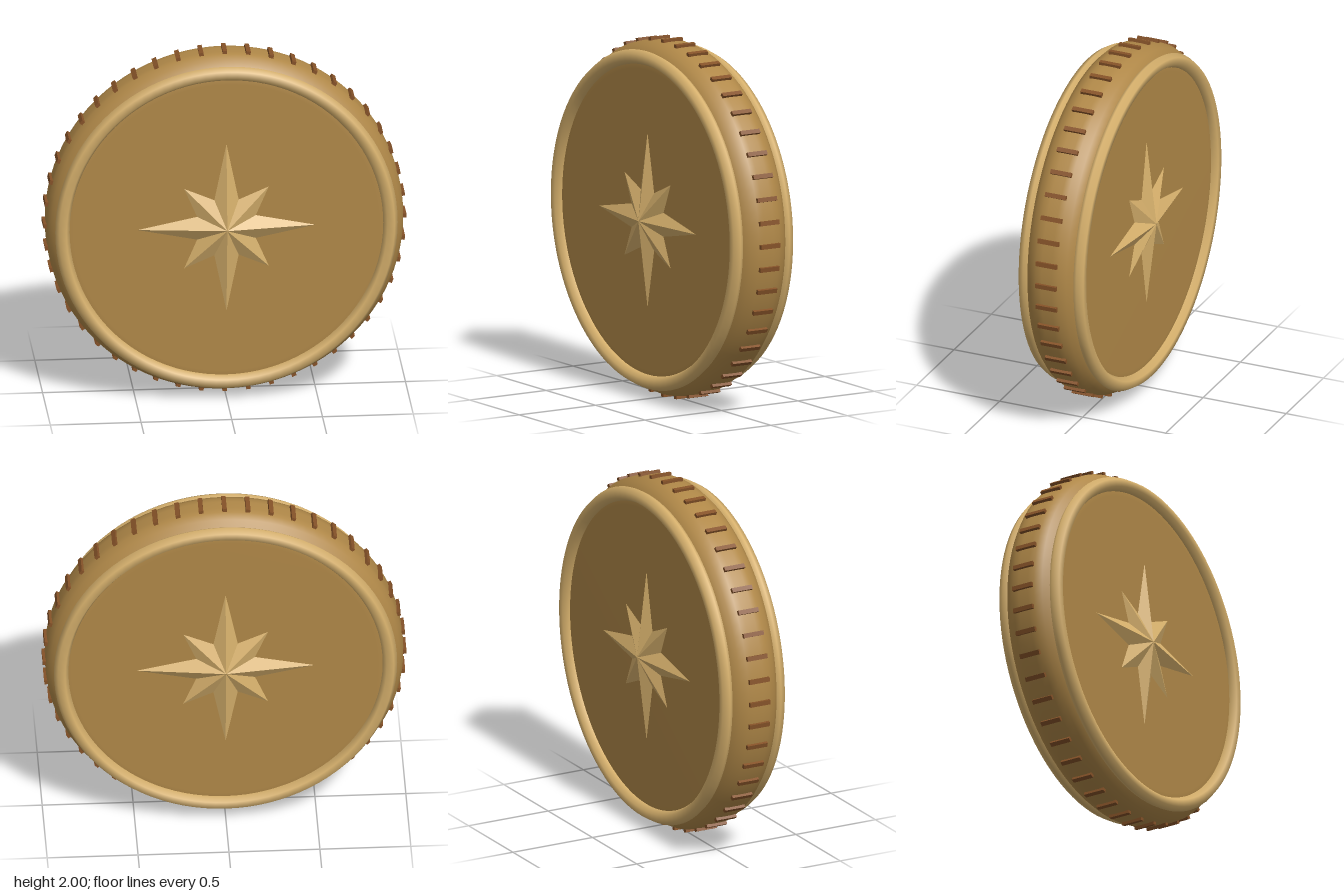
import * as THREE from 'three';

const paint = (name, color) => {
  const m = new THREE.MeshStandardMaterial({ color });
  m.name = name;
  return m;
};

// Faceted eight-pointed star: raised centre, outline on z = 0
function starGeometry(longR, shortR, valleyR, height) {
  const at = (k) => {
    const r = k % 2 ? valleyR : k % 4 ? shortR : longR;
    const a = (k * Math.PI) / 8;
    return [r * Math.cos(a), r * Math.sin(a), 0];
  };
  const pos = [];
  for (let k = 0; k < 16; k++) pos.push(0, 0, height, ...at(k), ...at(k + 1));
  const g = new THREE.BufferGeometry();
  g.setAttribute('position', new THREE.Float32BufferAttribute(pos, 3));
  g.computeVertexNormals();
  return g;
}

export function createModel() {
  const bronze = paint('bronze', 0xb08848);
  const gold = paint('pale gold', 0xd6b06c);
  const brown = paint('dark brown', 0x855228);

  const model = new THREE.Group();
  model.name = 'medallion';
  const disc = new THREE.Group();
  disc.position.y = 1;
  model.add(disc);

  const add = (name, geometry, material, parent = disc) => {
    const mesh = new THREE.Mesh(geometry, material);
    mesh.name = name;
    parent.add(mesh);
    return mesh;
  };

  // Thick disc with a rounded edge, turned to face the front
  const half = [[0, 0.16], [0.84, 0.16], [0.89, 0.158], [0.925, 0.145], [0.962, 0.108], [0.982, 0.066], [0.985, 0.03]];
  const profile = [
    ...half.map(([r, z]) => new THREE.Vector2(r, -z)),
    ...half.slice().reverse().map(([r, z]) => new THREE.Vector2(r, z)),
  ];
  add('body', new THREE.LatheGeometry(profile, 96).rotateX(Math.PI / 2), bronze);

  // Raised rim and star on each face
  const rimGeo = new THREE.TorusGeometry(0.904, 0.04, 6, 96);
  const starGeo = starGeometry(0.49, 0.33, 0.175, 0.06);
  for (const side of ['front', 'back']) {
    const face = new THREE.Group();
    face.name = side + 'Face';
    if (side === 'back') face.rotation.y = Math.PI;
    disc.add(face);
    add(side + 'Rim', rimGeo, gold, face).position.z = 0.16;
    add(side + 'Star', starGeo, gold, face).position.z = 0.16;
  }

  // Ridges around the edge
  const ridgeGeo = new THREE.BoxGeometry(0.03, 0.025, 0.125);
  const ridges = new THREE.Group();
  ridges.name = 'edgeRidges';
  disc.add(ridges);
  for (let i = 0; i < 48; i++) {
    const a = (i / 48) * Math.PI * 2;
    const ridge = add('ridge', ridgeGeo, brown, ridges);
    ridge.position.set(0.985 * Math.cos(a), 0.985 * Math.sin(a), 0);
    ridge.rotation.z = a;
  }
  return model;
}
